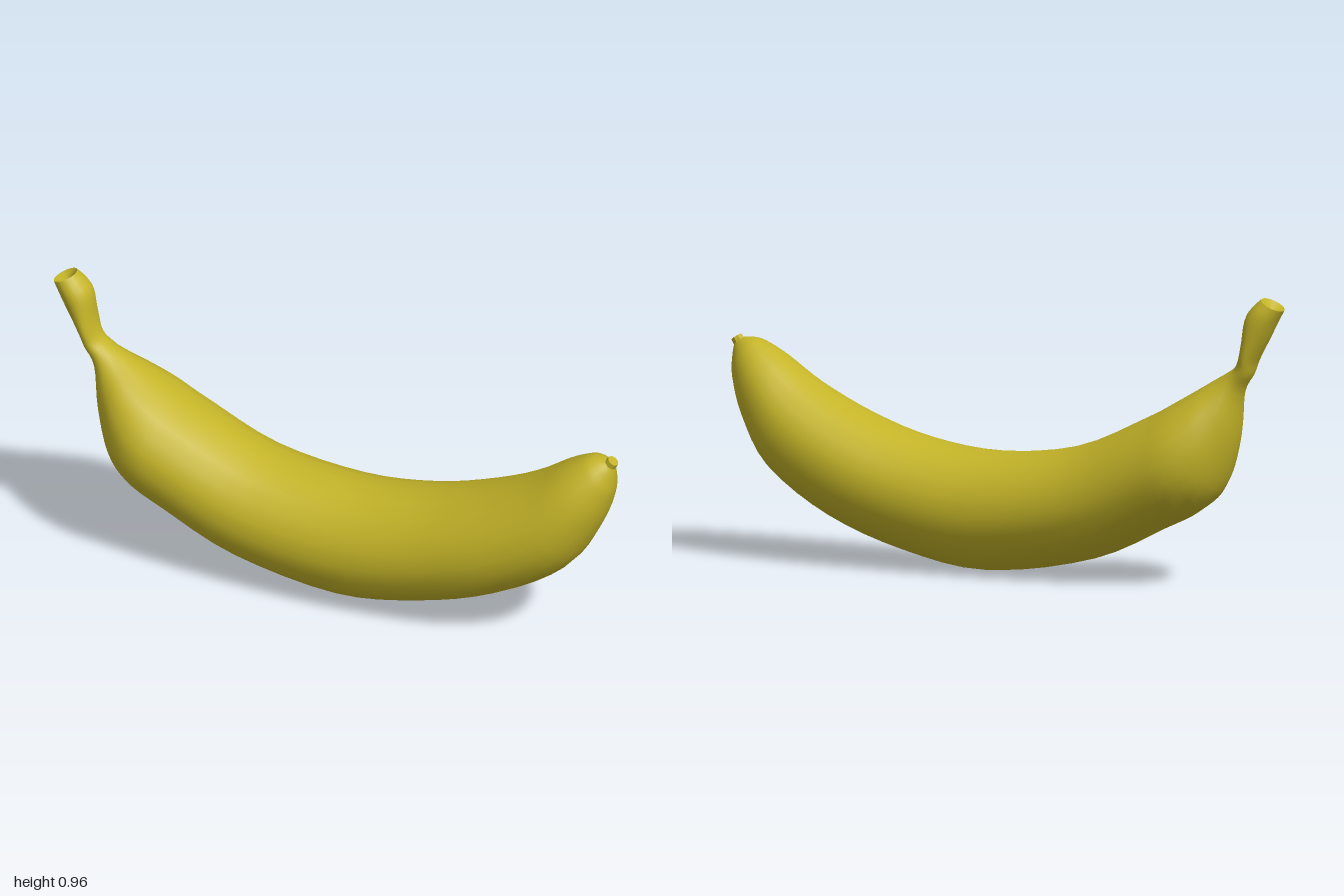
import * as THREE from 'three';

const SIDES = 20;
const STEPS = 4; // rings between neighbouring stations

// Stations from stem to tip: upper edge x, y, lower edge x, y, half width
const stations = [
  [-0.92, 0.968, -0.995, 0.93, 0.045],
  [-0.89, 0.94, -0.97, 0.888, 0.06],
  [-0.865, 0.9, -0.94, 0.83, 0.065],
  [-0.853, 0.81, -0.898, 0.755, 0.063],
  [-0.833, 0.745, -0.882, 0.71, 0.055],
  [-0.795, 0.715, -0.845, 0.64, 0.062],
  [-0.75, 0.688, -0.822, 0.48, 0.105],
  [-0.69, 0.652, -0.768, 0.325, 0.165],
  [-0.61, 0.605, -0.69, 0.247, 0.205],
  [-0.5, 0.545, -0.57, 0.185, 0.214],
  [-0.25, 0.435, -0.315, 0.068, 0.215],
  [0.05, 0.4, 0.05, 0.005, 0.215],
  [0.3, 0.427, 0.35, 0.052, 0.215],
  [0.51, 0.492, 0.62, 0.148, 0.214],
  [0.69, 0.58, 0.835, 0.288, 0.185],
  [0.81, 0.663, 0.938, 0.45, 0.137],
  [0.885, 0.706, 0.983, 0.575, 0.085],
  [0.925, 0.715, 0.99, 0.64, 0.05],
  [0.955, 0.713, 0.988, 0.685, 0.022],
];

function makeRings() {
  const curve = (f) => new THREE.CatmullRomCurve3(stations.map(f), false, 'catmullrom', 0.5);
  const upper = curve((s) => new THREE.Vector3(s[0], s[1], s[4]));
  const lower = curve((s) => new THREE.Vector3(s[2], s[3], s[4]));
  const count = (stations.length - 1) * STEPS;
  const rings = [];
  for (let i = 0; i <= count; i++) {
    const u = upper.getPoint(i / count);
    const l = lower.getPoint(i / count);
    const ring = [];
    for (let j = 0; j < SIDES; j++) {
      const a = (j / SIDES) * Math.PI * 2;
      const k = (1 - Math.cos(a)) / 2;
      ring.push(new THREE.Vector3(
        THREE.MathUtils.lerp(u.x, l.x, k),
        THREE.MathUtils.lerp(u.y, l.y, k),
        Math.sin(a) * u.z));
    }
    rings.push(ring);
  }
  return rings;
}

// Smooth closed skin through the rings
function skin(rings) {
  const index = [];
  for (let i = 0; i < rings.length - 1; i++) {
    for (let j = 0; j < SIDES; j++) {
      const n = (j + 1) % SIDES;
      const a = i * SIDES + j, b = i * SIDES + n;
      index.push(a, b, a + SIDES, b, b + SIDES, a + SIDES);
    }
  }
  const geometry = new THREE.BufferGeometry().setFromPoints(rings.flat());
  geometry.setIndex(index);
  geometry.computeVertexNormals();
  return geometry;
}

// Fan closing a ring around a given centre
function cap(ring, centre, flip) {
  const points = [];
  ring.forEach((p, j) => {
    const q = ring[(j + 1) % SIDES];
    points.push(centre, ...(flip ? [q, p] : [p, q]));
  });
  const geometry = new THREE.BufferGeometry().setFromPoints(points);
  geometry.computeVertexNormals();
  return geometry;
}

export function createModel() {
  const group = new THREE.Group();
  group.name = 'banana';
  const material = new THREE.MeshStandardMaterial({ color: 0xc4b428 });
  const add = (name, geometry) => {
    const mesh = new THREE.Mesh(geometry, material);
    mesh.name = name;
    group.add(mesh);
    return mesh;
  };

  const rings = makeRings();
  add('peel', skin(rings));

  // Hollowed cut at the end of the stem
  add('stemCut', cap(rings[0], new THREE.Vector3(-0.95, 0.925, 0), true));

  // Closed blossom end with its small nub
  const last = rings[rings.length - 1];
  add('tipCap', cap(last, new THREE.Vector3(0.972, 0.7, 0), false));
  const nub = add('tipNub', new THREE.CylinderGeometry(0.02, 0.022, 0.03, 8).toNonIndexed());
  nub.geometry.computeVertexNormals();
  nub.position.set(0.974, 0.7, 0);
  nub.rotation.z = -0.6;

  return group;
}
